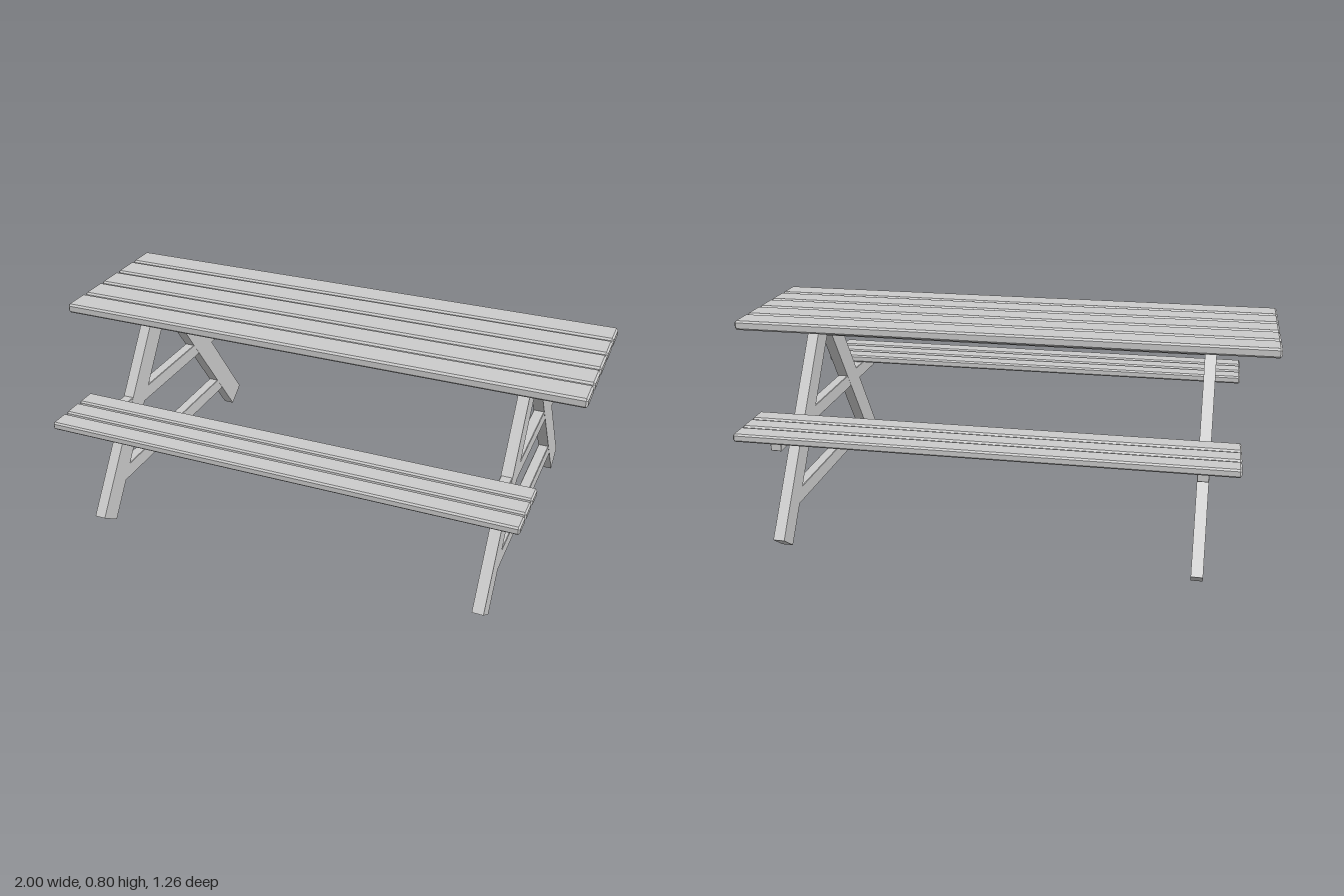
import * as THREE from 'three';

const material = new THREE.MeshStandardMaterial({ color: 0xcccccc, flatShading: true });

// A board lying along x, with every edge chamfered by c
function boardGeometry(length, height, depth, c) {
  const w = depth / 2, h = height / 2;
  const profile = new THREE.Shape([
    [w - c, -h], [w, c - h], [w, h - c], [w - c, h],
    [c - w, h], [-w, h - c], [-w, c - h], [c - w, -h],
  ].map(([x, y]) => new THREE.Vector2(x, y)));
  const geometry = new THREE.ExtrudeGeometry(profile, {
    depth: length - 2 * c, bevelEnabled: true, bevelSegments: 1,
    bevelThickness: c, bevelSize: c, bevelOffset: -c,
  });
  return geometry.translate(0, 0, c - length / 2).rotateY(Math.PI / 2);
}

export function createModel() {
  const model = new THREE.Group();
  model.name = 'picnicTable';

  function add(name, geometry, x, y, z) {
    const mesh = new THREE.Mesh(geometry, material);
    mesh.name = name;
    mesh.position.set(x, y, z);
    model.add(mesh);
    return mesh;
  }

  // Tabletop: five spaced planks
  const topPlank = boardGeometry(2, 0.036, 0.108, 0.007);
  for (let i = -2; i <= 2; i++) add('tabletopPlank', topPlank, 0, 0.781, i * 0.12);

  // Benches: three planks on each side
  const benchPlank = boardGeometry(1.766, 0.03, 0.075, 0.006);
  for (const side of [-1, 1]) {
    for (let i = -1; i <= 1; i++) add('benchPlank', benchPlank, 0, 0.465, side * (0.505 + i * 0.087));
  }

  // Rail under the tabletop, joining the two frames
  add('topRail', boardGeometry(1.476, 0.067, 0.076, 0.004), 0, 0.72, 0);

  // End frames: a pair of slanted legs and two cross beams
  const leg = new THREE.BoxGeometry(0.042, 0.875, 0.094);
  const seatBeam = boardGeometry(1.09, 0.056, 0.041, 0.002).rotateY(Math.PI / 2);
  const lowerBeam = boardGeometry(0.84, 0.058, 0.041, 0.002).rotateY(Math.PI / 2);
  for (const x of [-0.759, 0.759]) {
    for (const side of [-1, 1]) {
      add('leg', leg, x, 0.384, side * 0.293).rotation.x = -side * 0.618;
    }
    add('seatBeam', seatBeam, x, 0.42, 0);
    add('lowerBeam', lowerBeam, x, 0.157, 0);
  }

  return model;
}
